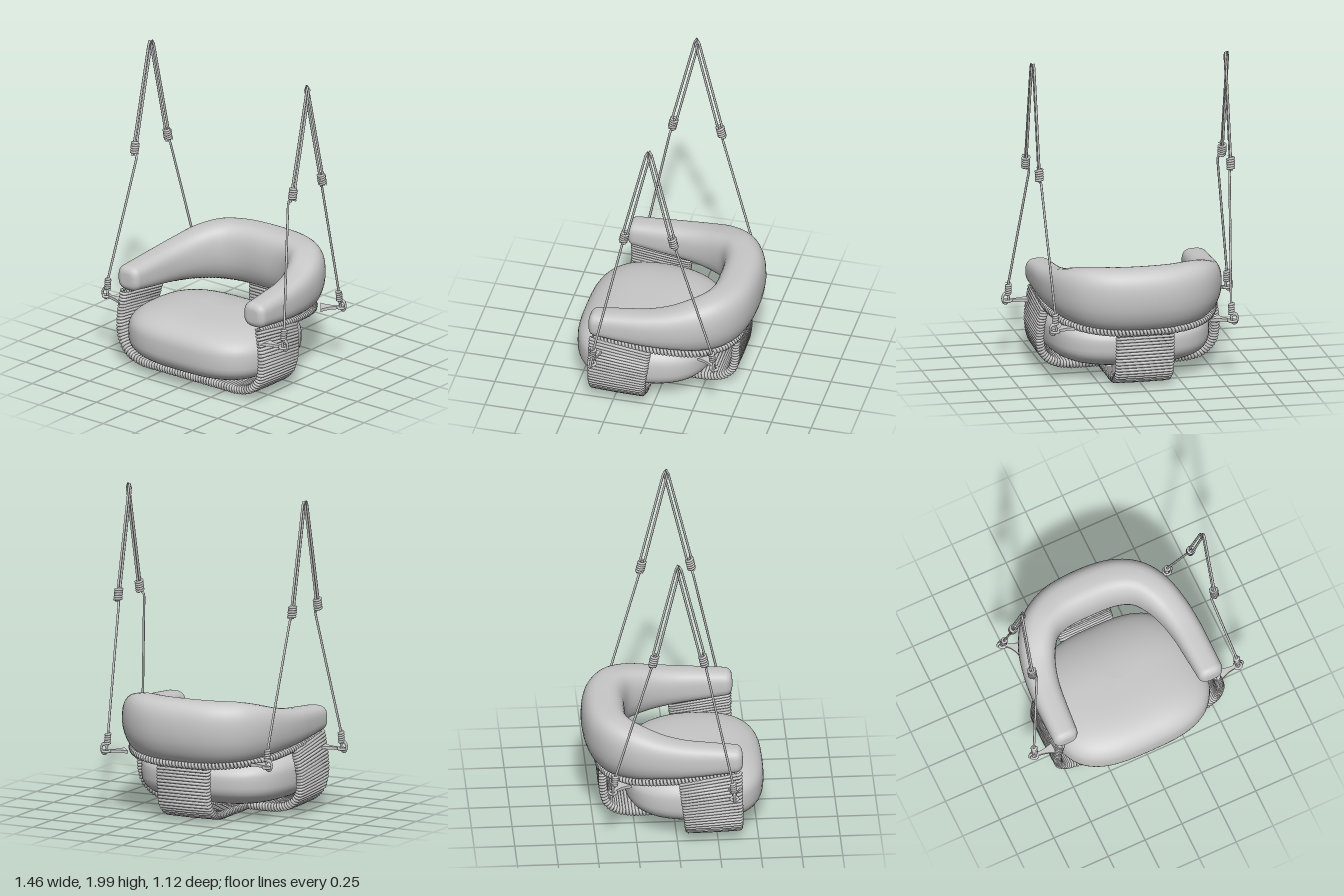
import * as THREE from 'three';

const V = (x, y, z) => new THREE.Vector3(x, y, z);
const spow = (v, p) => Math.sign(v) * Math.abs(v) ** p;

// Rope wound round a path; each turn is a stadium of half width a(p) and half thickness b
class Winding extends THREE.Curve {
  constructor(path, wDir, a, b, turns) {
    super();
    Object.assign(this, { path, wDir, a, b, turns });
  }
  getUtoTmapping(u) { return u; }
  getPoint(t) {
    const p = this.path.getPointAt(t), tan = this.path.getTangentAt(t);
    const w = this.wDir(p), n = tan.cross(w).normalize();
    const ang = t * this.turns * Math.PI * 2, c = Math.cos(ang);
    const flat = THREE.MathUtils.clamp(c * 4, -1, 1) * (this.a(p) - this.b);
    return p.addScaledVector(w, flat + c * this.b).addScaledVector(n, Math.sin(ang) * this.b);
  }
}

// Skin over closed rings of points
function loft(rings) {
  const n = rings[0].length, pos = [], index = [];
  rings.forEach(r => r.forEach(p => pos.push(p.x, p.y, p.z)));
  for (let i = 0; i < rings.length - 1; i++) {
    for (let j = 0; j < n; j++) {
      const a = i * n + j, b = i * n + (j + 1) % n;
      index.push(a, b, b + n, a, b + n, a + n);
    }
  }
  const g = new THREE.BufferGeometry();
  g.setAttribute('position', new THREE.Float32BufferAttribute(pos, 3));
  g.setIndex(index);
  g.computeVertexNormals();
  return g;
}

// Half of a symmetric path (ending at x = 0) made whole, running from -x to +x
const mirrored = pts => [
  ...pts.map(([x, y, z]) => V(-x, y, z)),
  ...pts.slice(0, -1).reverse().map(([x, y, z]) => V(x, y, z)),
];
const smooth = pts => new THREE.CatmullRomCurve3(pts);

function cushionGeometry() {
  const rings = [], rows = 32, cols = 64;
  for (let i = 0; i <= rows; i++) {
    const v = Math.PI / 2 - (i / rows) * Math.PI;
    const r = Math.max(0, spow(Math.cos(v), 0.66)), h = spow(Math.sin(v), 0.66);
    const ring = [];
    for (let j = 0; j < cols; j++) {
      const u = (j / cols) * Math.PI * 2;
      const cz = spow(Math.sin(u), 0.66) * r, z = 0.122 + 0.433 * cz;
      const x = 0.52 * spow(Math.cos(u), 0.66) * r * (1 - 0.1 * Math.max(0, -cz));
      const drop = h > 0 ? 0.07 * Math.max(0, (0.1 - z) / 0.4) ** 2 * h : 0;
      ring.push(V(x, 0.248 + 0.182 * h - drop, z));
    }
    rings.push(ring);
  }
  return loft(rings);
}

function backrestGeometry() {
  // outer x, outer z, inner x, inner z, bottom, top
  const st = [
    [0.572, 0.355, 0.41, 0.355, 0.485, 0.645], [0.572, 0.2, 0.397, 0.2, 0.465, 0.66],
    [0.57, 0.05, 0.38, 0.05, 0.447, 0.675], [0.552, -0.12, 0.35, -0.07, 0.43, 0.702],
    [0.505, -0.29, 0.305, -0.17, 0.41, 0.74], [0.405, -0.435, 0.245, -0.245, 0.395, 0.765],
    [0.24, -0.53, 0.15, -0.28, 0.385, 0.77], [0, -0.56, 0, -0.287, 0.38, 0.77],
  ];
  const outer = smooth(mirrored(st.map(s => [s[0], s[5], s[1]])));
  const inner = smooth(mirrored(st.map(s => [s[2], s[4], s[3]])));
  const rings = [], cols = 40, r = 0.045;
  const section = (t, inset, push) => {
    const o = outer.getPoint(t), n = inner.getPoint(t);
    const top = o.y, bottom = n.y, H = (top - bottom) / 2;
    o.y = n.y = 0;
    const mid = o.clone().add(n).multiplyScalar(0.5), dir = o.sub(n);
    const W = dir.length() / 2;
    dir.normalize();
    const back = THREE.MathUtils.clamp((0.2 - mid.z) / 0.5, 0, 1);
    const ring = [];
    for (let j = 0; j < cols; j++) {
      const a = (j / cols) * Math.PI * 2;
      const sy = spow(Math.sin(a), 0.7), sw = spow(Math.cos(a), 0.7);
      // underside tucks in towards the rear
      const tuck = 1 - 0.28 * back * Math.max(0, -sy - 0.1);
      const p = mid.clone().addScaledVector(dir, sw * Math.max(0, W - inset) * tuck);
      p.y = (top + bottom) / 2 + sy * Math.max(0, H - inset);
      p.z += push;
      ring.push(p);
    }
    return ring;
  };
  const cap = [];
  for (let k = 0; k <= 6; k++) {
    const a = (k / 6) * Math.PI / 2;
    cap.push([r * (1 - Math.sin(a)), r * Math.cos(a)]);
  }
  rings.push(section(0, 1, r));
  cap.forEach(([i, p]) => rings.push(section(0, i, p)));
  for (let k = 1; k < 72; k++) rings.push(section(k / 72, 0, 0));
  cap.reverse().forEach(([i, p]) => rings.push(section(1, i, p)));
  rings.push(section(1, 1, r));
  return loft(rings);
}

// Flared arm with an eye, pointing along +x
function bracketGeometry(len) {
  const s = new THREE.Shape();
  s.moveTo(-0.02, -0.055);
  s.quadraticCurveTo(0.025, -0.012, len - 0.02, -0.011);
  s.lineTo(len - 0.02, 0.011);
  s.quadraticCurveTo(0.025, 0.012, -0.02, 0.055);
  s.closePath();
  return new THREE.ExtrudeGeometry(s, { depth: 0.018, bevelEnabled: false, curveSegments: 10 })
    .translate(0, 0, -0.009).rotateX(-Math.PI / 2);
}

export function createModel() {
  const model = new THREE.Group();
  const grey = new THREE.MeshStandardMaterial({ color: 0xc8c8c8 });
  grey.name = 'soft grey';
  const add = (name, geo, parent = model) => {
    const m = new THREE.Mesh(geo, grey);
    m.name = name;
    parent.add(m);
    return m;
  };
  const wind = (name, path, wDir, a, b, turns, r, steps, parent) => add(name,
    new THREE.TubeGeometry(new Winding(path, wDir, a, b, turns), Math.round(turns * steps), r, 6), parent);

  add('seatCushion', cushionGeometry());
  add('backrest', backrestGeometry());

  // Wound U-shaped band under the seat and up both sides
  const sidePath = smooth(mirrored([[0.525, 0.45, 0], [0.546, 0.33, 0], [0.55, 0.22, 0], [0.53, 0.135, 0],
    [0.47, 0.072, 0], [0.38, 0.044, 0], [0.2, 0.041, 0], [0, 0.041, 0]]
    .map(([x, y]) => [x, y, 0.232 - 0.07 * y])));
  wind('sideBand', sidePath, p => V(0, 0.16 * p.y / 0.45, 1), p => 0.165 + 0.05 * p.y, 0.019, 88, 0.0105, 16);

  // Wound band running rearward and up to the backrest
  const backPath = smooth([V(0, 0.032, 0.07), V(0, 0.032, -0.1), V(0, 0.032, -0.26), V(0, 0.052, -0.35),
    V(0, 0.105, -0.41), V(0, 0.18, -0.432), V(0, 0.37, -0.44)]);
  wind('backBand', backPath, () => V(1, 0, 0), () => 0.175, 0.018, 38, 0.0105, 16);

  // Wound rail beneath the backrest
  const rail = smooth(mirrored([[0.525, 0.472, 0.36], [0.525, 0.45, 0.18], [0.52, 0.43, 0], [0.46, 0.402, -0.24],
    [0.35, 0.385, -0.38], [0.2, 0.373, -0.45], [0, 0.37, -0.465]]));
  wind('backrestRail', rail, () => V(0, 1, 0), () => 0.014, 0.014, 105, 0.0105, 8);

  // Hanging ropes: a front and a rear leg on each side
  const legs = [
    { name: 'front', base: V(0.56, 0.39, 0.345), tip: V(0.69, 0.39, 0.338), low: V(0.687, 0.5, 0.328), s: 1, x: 0.617 },
    { name: 'rear', base: V(0.475, 0.39, -0.335), tip: V(0.558, 0.39, -0.402), low: V(0.553, 0.5, -0.383), s: -1, x: 0.602 },
  ];
  for (const side of [1, -1]) {
    const group = new THREE.Group();
    group.name = side > 0 ? 'leftHanger' : 'rightHanger';
    model.add(group);
    const M = p => V(p.x * side, p.y, p.z);
    const rope = (name, pts) => add(name, new THREE.TubeGeometry(
      new THREE.CatmullRomCurve3(pts.map(M), false, 'catmullrom', 0.04), 48, 0.0075, 7), group);
    const knot = (name, a, b, r) => wind(name, new THREE.LineCurve3(M(a), M(b)), () => V(1, 0, 0),
      () => r, r, 5, 0.0085, 14, group);

    for (const { name, base, tip, low, s, x } of legs) {
      const len = base.distanceTo(tip);
      const arm = add(name + 'Bracket', bracketGeometry(len), group);
      arm.position.copy(M(base));
      arm.rotation.y = -Math.atan2(tip.z - base.z, (tip.x - base.x) * side);
      const eye = add(name + 'Eye', new THREE.TorusGeometry(0.022, 0.009, 8, 20), group);
      eye.position.copy(M(tip));
      eye.rotation.x = Math.PI / 2;

      // rope loop through the eye, then the lower rope up to the big knot
      const loop = add(name + 'EyeLoop', new THREE.TorusGeometry(0.02, 0.0075, 7, 18), group);
      loop.position.copy(M(tip)).add(V(0.012 * side, 0.015, 0));
      loop.scale.y = 1.5;
      const join = V(0.592, 1.265, 0.168 * s);
      rope(name + 'LowerRope', [V(low.x, 0.42, low.z + 0.01 * s), low, join, V(x, 1.3, 0.155 * s)]);
      knot(name + 'LowerKnot', V(low.x, 0.432, low.z + 0.008 * s), V(low.x, 0.502, low.z), 0.013);

      // doubled upper rope looping over the top
      rope(name + 'UpperRope', [V(x, 1.28, 0.176 * s), V(x, 1.36, 0.16 * s), V(x, 1.965, 0.016 * s),
        V(x, 1.99, 0.002 * s), V(x, 1.965, -0.01 * s), V(x, 1.36, 0.13 * s), V(x, 1.28, 0.146 * s)]);
      knot(name + 'UpperKnot', V(x, 1.29, 0.161 * s), V(x, 1.362, 0.145 * s), 0.02);
    }
  }
  return model;
}
